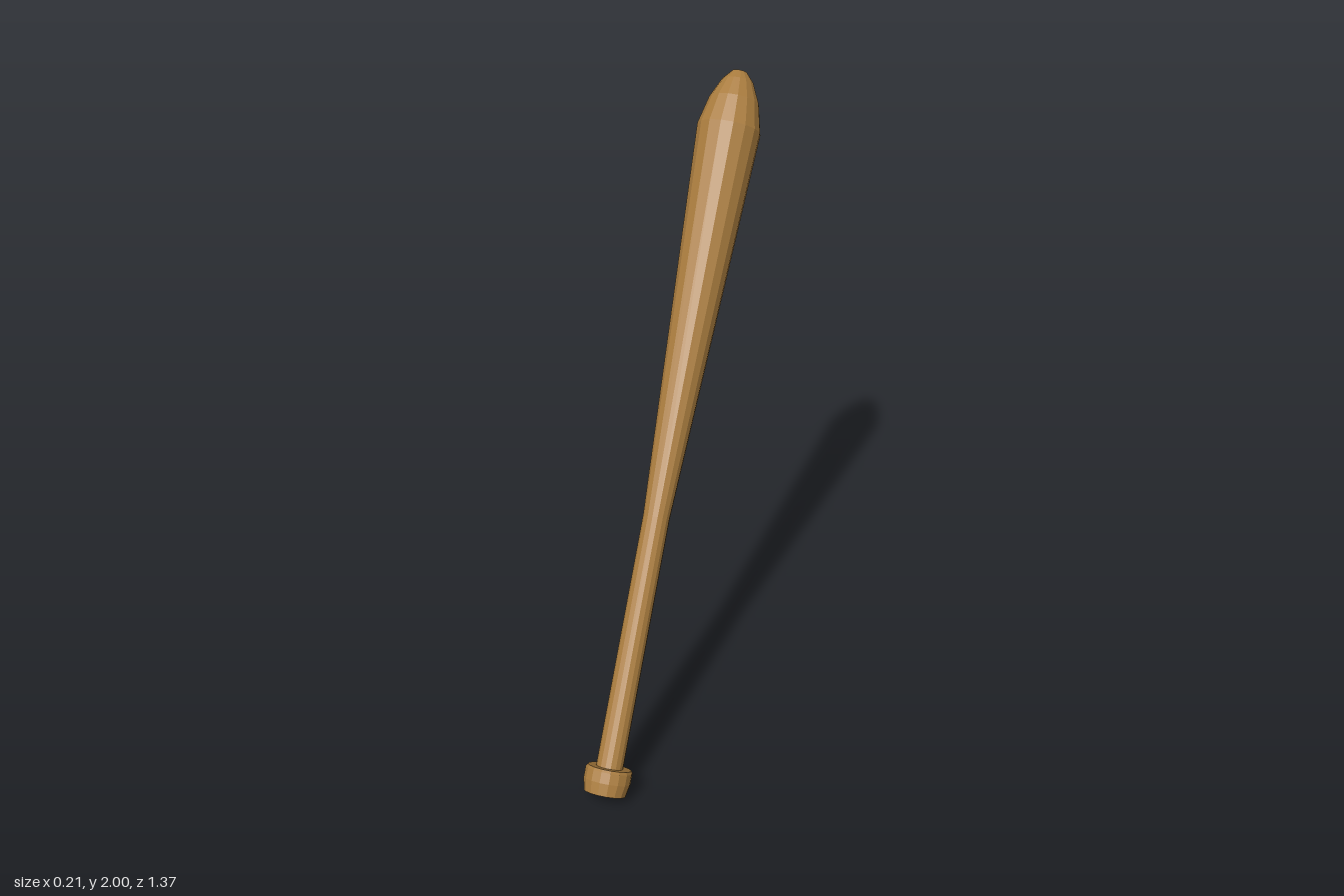
import * as THREE from 'three';

const SIDES = 16;

// Faceted turned part from [radius, height] pairs running upward
function turned(name, profile, material) {
  const points = profile.map(([r, h]) => new THREE.Vector2(r, h));
  const geometry = new THREE.LatheGeometry(points, SIDES).toNonIndexed();
  geometry.computeVertexNormals();
  const mesh = new THREE.Mesh(geometry, material);
  mesh.name = name;
  return mesh;
}

export function createModel() {
  const wood = new THREE.MeshStandardMaterial({ color: 0xa97c3e });
  wood.name = 'wood';

  const bat = new THREE.Group();
  bat.name = 'bat';

  // Knob at the end of the grip
  bat.add(turned('knob', [
    [0, 0], [0.067, 0], [0.075, 0.04], [0.075, 0.074], [0.07, 0.082], [0, 0.082],
  ], wood));

  // Straight handle
  bat.add(turned('handle', [[0.043, 0.08], [0.043, 0.88]], wood));

  // Widening barrel with a rounded tip
  bat.add(turned('barrel', [
    [0.043, 0.88], [0.104, 2.147], [0.082, 2.24], [0.052, 2.305], [0.025, 2.337], [0, 2.337],
  ], wood));

  // Lean the bat backward, resting on the rim of the knob
  bat.rotation.x = -0.586;
  bat.position.set(0, 0.037, 0.631);

  const model = new THREE.Group();
  model.name = 'leaningBat';
  model.add(bat);
  return model;
}
